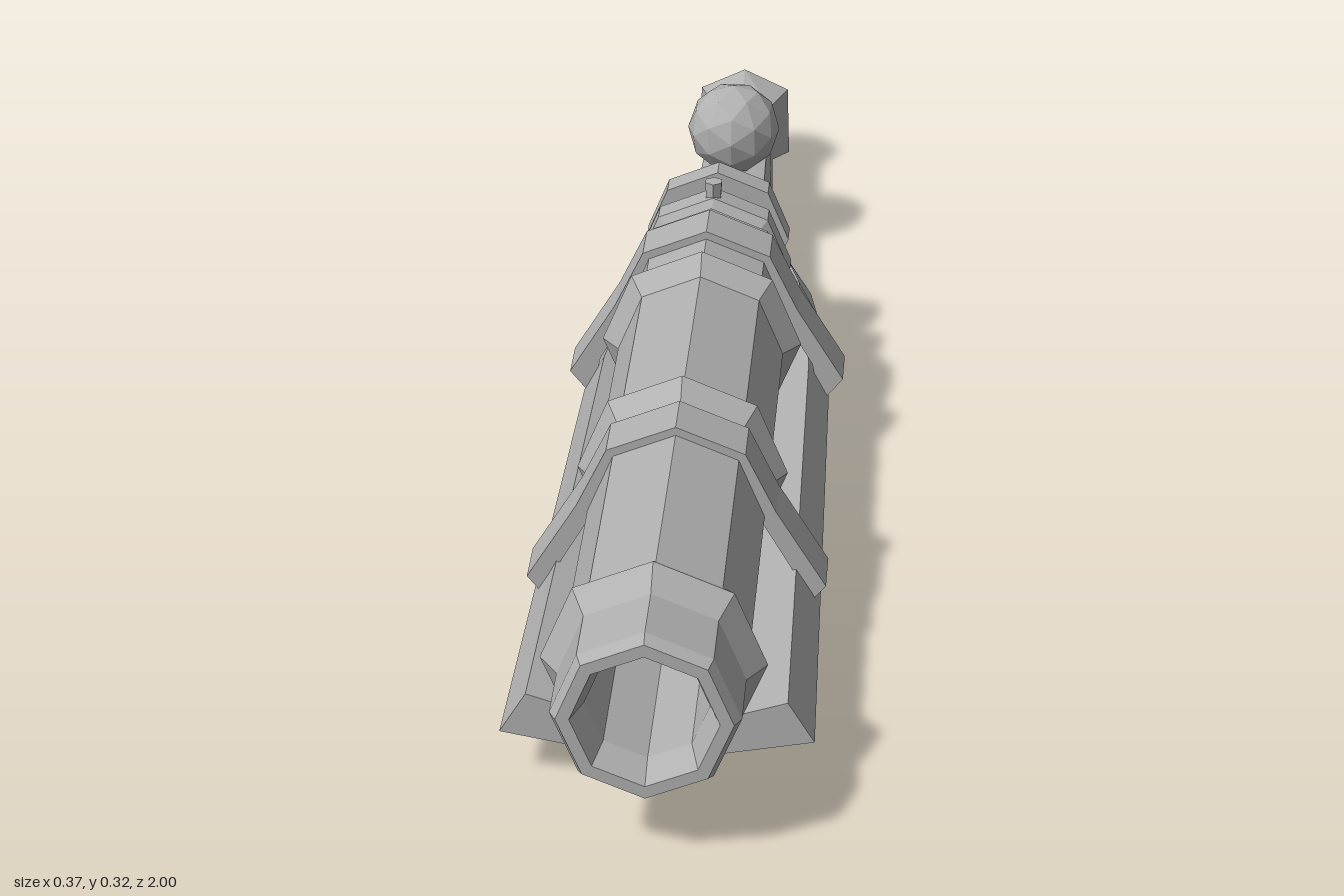
import * as THREE from 'three';

const AXIS_Y = 0.193; // height of the barrel axis

export function createModel() {
  const group = new THREE.Group();
  const grey = new THREE.MeshStandardMaterial({ color: 0xb0b0b0, flatShading: true });
  grey.name = 'plain grey';

  const add = (name, geometry, x = 0, y = 0, z = 0) => {
    const mesh = new THREE.Mesh(geometry, grey);
    mesh.name = name;
    mesh.position.set(x, y, z);
    group.add(mesh);
    return mesh;
  };

  // Eight-sided turned part along z; profile is [radius, z]
  const turned = (profile, sides = 8) =>
    new THREE.LatheGeometry(profile.map(([r, z]) => new THREE.Vector2(r, z)), sides).rotateX(Math.PI / 2);

  // Barrel: outside from breech to muzzle, then back through the bore
  add('barrel', turned([
    [0.07, -0.22], [0.107, -0.22], [0.107, -0.185], [0.092, -0.175], [0.092, -0.155],
    [0.11, -0.145], [0.11, -0.02], [0.11, 0.01], [0.133, 0.04], [0.11, 0.07],
    [0.11, 0.365], [0.133, 0.4], [0.11, 0.435],
    [0.11, 0.825], [0.133, 0.865], [0.11, 0.9],
    [0.11, 0.985], [0.102, 1], [0.086, 1], [0.072, 0.96], [0.07, -0.22],
  ]), 0, AXIS_Y);

  // Breech block with its pull knob
  add('breechBlock', turned([
    [0, -0.338], [0.072, -0.338], [0.1, -0.322], [0.1, -0.285], [0, -0.285],
  ]), 0, AXIS_Y);
  add('breechKnob', turned([
    [0, -0.402], [0.018, -0.402], [0.028, -0.395], [0.028, -0.385], [0.014, -0.375],
    [0.014, -0.352], [0.026, -0.338],
  ]), 0, AXIS_Y);

  // Vent pin on top of the breech
  add('ventPin', new THREE.CylinderGeometry(0.013, 0.011, 0.032, 6), 0, 0.303, -0.2);

  // Straps: a band over the barrel with legs splayed to the stock
  const rightHalf = [
    [0.165, 0.07], [0.187, 0.097], [0.124, 0.2], [0.086, 0.279], [0, 0.314],
  ];
  const innerHalf = [[0, 0.293], [0.071, 0.264], [0.102, 0.193], [0.145, 0.119], [0.152, 0.085]];
  const mirror = (points) => points.map(([x, y]) => [-x, y]).reverse();
  const strapOutline = [
    ...rightHalf, ...mirror(rightHalf).slice(1),
    ...mirror(innerHalf), ...innerHalf.slice(1),
  ];
  const strapShape = new THREE.Shape(strapOutline.map(([x, y]) => new THREE.Vector2(x, y)));
  for (const [name, z] of [['frontStrap', 0.445], ['rearStrap', -0.117]]) {
    add(name, new THREE.ExtrudeGeometry(strapShape, { depth: 0.07, bevelEnabled: false }), 0, 0, z);
  }

  // Stock: hollow-topped bed, narrowing to a handle and a faceted pommel
  // [z, keel y, side x, side y, rim x, rim y, middle y]
  add('stock', loft([
    [0.83, 0.032, 0.187, 0.067, 0.155, 0.12, 0.07],
    [-0.05, 0.032, 0.168, 0.067, 0.14, 0.12, 0.07],
    [-0.3, 0.033, 0.142, 0.067, 0.115, 0.12, 0.07],
    [-0.36, 0.034, 0.13, 0.072, 0.098, 0.122, 0.126],
    [-0.47, 0.036, 0.07, 0.058, 0.054, 0.132, 0.139],
    [-0.55, 0.036, 0.064, 0.055, 0.05, 0.134, 0.142],
    [-0.885, 0.028, 0.047, 0.045, 0.042, 0.133, 0.142],
    [-0.945, 0.002, 0.07, 0.032, 0.067, 0.138, 0.17],
    [-1, 0.03, 0.045, 0.05, 0.043, 0.122, 0.142],
  ]));

  // Shot resting above the handle
  add('shot', new THREE.IcosahedronGeometry(0.068, 1), 0, 0.197, -0.66);

  return group;
}

// Joins mirrored six-point sections from front to back and caps both ends
function loft(sections) {
  const positions = [];
  const index = [];
  for (const [z, keel, sx, sy, rx, ry, mid] of sections) {
    positions.push(0, keel, z, sx, sy, z, rx, ry, z, 0, mid, z, -rx, ry, z, -sx, sy, z);
  }
  const last = (sections.length - 1) * 6;
  for (let s = 0; s < last; s += 6) {
    for (let j = 0; j < 6; j++) {
      const k = (j + 1) % 6;
      index.push(s + j, s + 6 + j, s + 6 + k, s + j, s + 6 + k, s + k);
    }
  }
  for (let j = 1; j < 5; j++) {
    index.push(0, j, j + 1, last, last + j + 1, last + j);
  }
  const geometry = new THREE.BufferGeometry();
  geometry.setAttribute('position', new THREE.Float32BufferAttribute(positions, 3));
  geometry.setIndex(index);
  const flat = geometry.toNonIndexed();
  flat.computeVertexNormals();
  return flat;
}
